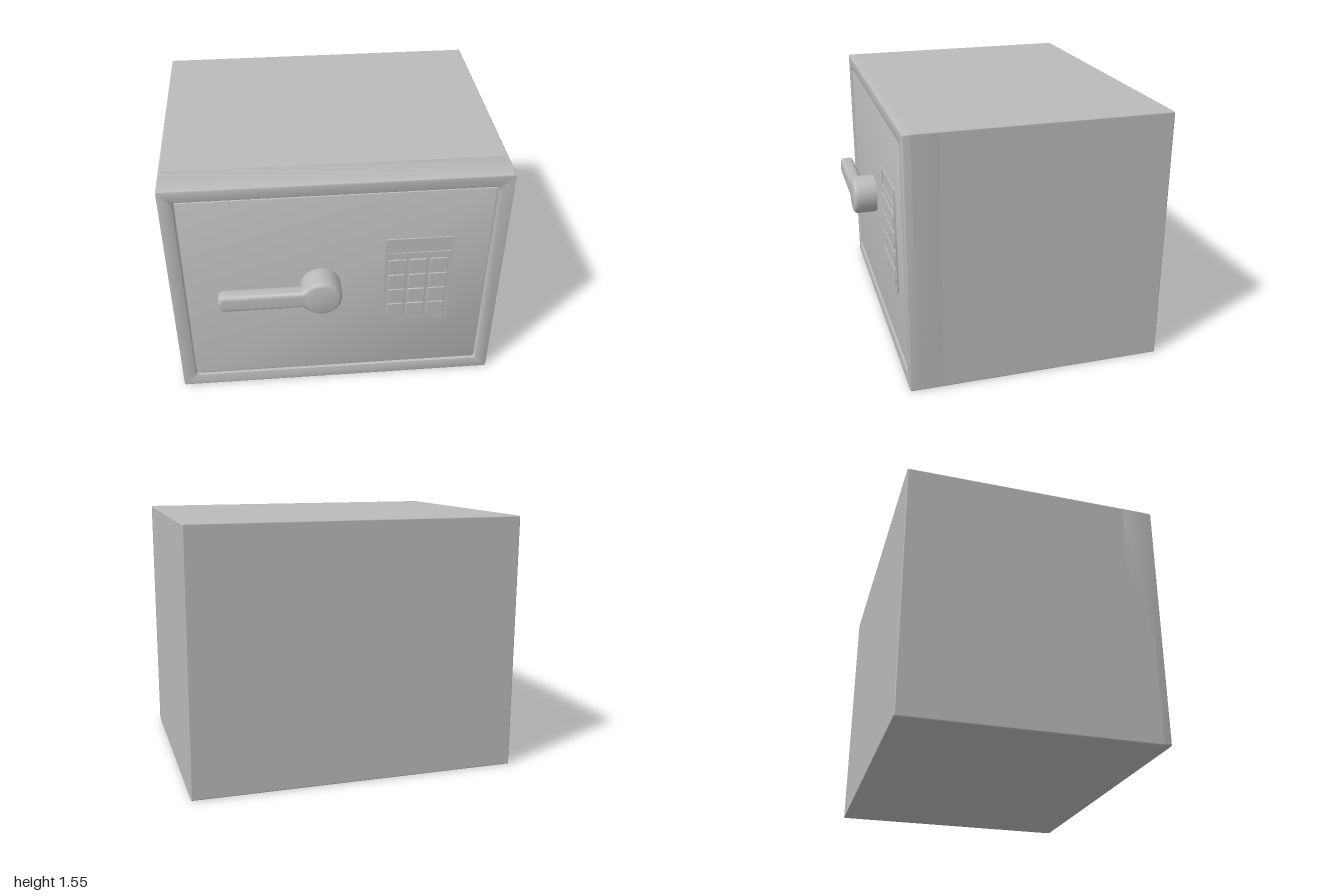
import * as THREE from 'three';
import { toCreasedNormals } from 'three/addons/utils/BufferGeometryUtils.js';
import { RoundedBoxGeometry } from 'three/addons/geometries/RoundedBoxGeometry.js';

const steel = new THREE.MeshStandardMaterial({ color: 0xbababa });
steel.name = 'grey steel';

// Rounded rectangle from its edges
function roundedRect(x0, y0, x1, y1, r, Type = THREE.Shape) {
  const s = new Type();
  s.moveTo(x0 + r, y0);
  s.lineTo(x1 - r, y0);
  s.quadraticCurveTo(x1, y0, x1, y0 + r);
  s.lineTo(x1, y1 - r);
  s.quadraticCurveTo(x1, y1, x1 - r, y1);
  s.lineTo(x0 + r, y1);
  s.quadraticCurveTo(x0, y1, x0, y1 - r);
  s.lineTo(x0, y0 + r);
  s.quadraticCurveTo(x0, y0, x0 + r, y0);
  return s;
}

// Extrusion filling z0..z1 whose bevel stays inside the outline
function slab(shape, z0, z1, bevel, segments = 2) {
  const g = new THREE.ExtrudeGeometry(shape, {
    depth: z1 - z0 - 2 * bevel, bevelEnabled: bevel > 0, bevelThickness: bevel,
    bevelSize: bevel, bevelOffset: -bevel, bevelSegments: segments, curveSegments: 6,
  });
  g.translate(0, 0, z0 + bevel);
  return toCreasedNormals(g, 0.6);
}

export function createModel() {
  const model = new THREE.Group();
  model.name = 'safe';
  const add = (name, geometry, parent = model) => {
    const mesh = new THREE.Mesh(geometry, steel);
    mesh.name = name;
    parent.add(mesh);
    return mesh;
  };

  // Cabinet and its front frame
  add('cabinet', new RoundedBoxGeometry(2, 1.555, 1.51, 2, 0.008)).position.set(0, 0.7775, -0.09);
  const frame = roundedRect(-1, 0, 1, 1.555, 0.012);
  frame.holes.push(roundedRect(-0.917, 0.088, 0.917, 1.477, 0.02, THREE.Path));
  add('frontFrame', slab(frame, 0.5, 0.705, 0.008));

  // Door, set slightly back with a narrow gap all round
  add('door', slab(roundedRect(-0.908, 0.097, 0.908, 1.468, 0.015), 0.65, 0.697, 0.004));

  // Keypad: plate with a display window, and twelve keys
  const keypad = new THREE.Group();
  keypad.name = 'keypad';
  model.add(keypad);
  const plate = roundedRect(0.28, 0.482, 0.69, 1.135, 0.003);
  plate.holes.push(roundedRect(0.295, 1.028, 0.672, 1.115, 0.004, THREE.Path));
  add('keypadPlate', slab(plate, 0.69, 0.705, 0), keypad);
  add('display', slab(roundedRect(0.29, 1.02, 0.68, 1.12, 0.003), 0.69, 0.699, 0), keypad);
  for (let row = 0; row < 4; row++) {
    for (let col = 0; col < 3; col++) {
      const x = 0.305 + col * 0.125, y = 0.52 + row * 0.118;
      add('key', slab(roundedRect(x, y, x + 0.106, y + 0.108, 0.006), 0.7, 0.712, 0.003, 1), keypad);
    }
  }

  // Handle: turned hub, neck and lever
  const handle = new THREE.Group();
  handle.name = 'handle';
  handle.position.set(-0.105, 0.818, 0);
  model.add(handle);
  const profile = [[0.122, 0.69], [0.122, 0.815], [0.119, 0.831], [0.11, 0.841], [0.098, 0.845], [0, 0.845]]
    .map(([r, z]) => new THREE.Vector2(r, z));
  const hub = new THREE.LatheGeometry(profile, 16);
  hub.rotateX(Math.PI / 2);
  add('hub', toCreasedNormals(hub, 0.6), handle);

  const lever = new THREE.Shape();
  lever.moveTo(-0.03, -0.085);
  lever.lineTo(-0.085, -0.085);
  lever.lineTo(-0.115, -0.059);
  lever.lineTo(-0.575, -0.059);
  lever.bezierCurveTo(-0.605, -0.059, -0.615, -0.03, -0.615, 0);
  lever.bezierCurveTo(-0.615, 0.03, -0.605, 0.059, -0.575, 0.059);
  lever.lineTo(-0.115, 0.059);
  lever.lineTo(-0.085, 0.085);
  lever.lineTo(-0.03, 0.085);
  add('lever', slab(lever, 0.757, 0.844, 0.026, 4), handle);

  // Fillet under the lever where it meets the hub
  const fillet = new THREE.Shape();
  fillet.moveTo(-0.09, 0.7);
  fillet.lineTo(-0.115, 0.7);
  fillet.lineTo(-0.118, 0.735);
  fillet.quadraticCurveTo(-0.122, 0.758, -0.15, 0.762);
  fillet.lineTo(-0.15, 0.785);
  fillet.lineTo(-0.09, 0.785);
  const neck = slab(fillet, -0.04, 0.04, 0);
  neck.rotateX(Math.PI / 2);
  neck.scale(1, -1, 1);
  // Mirroring turned the faces round, so swap two corners of each
  const p = neck.attributes.position;
  const a = new THREE.Vector3(), b = new THREE.Vector3();
  for (let i = 0; i < p.count; i += 3) {
    a.fromBufferAttribute(p, i);
    b.fromBufferAttribute(p, i + 1);
    p.setXYZ(i, b.x, b.y, b.z);
    p.setXYZ(i + 1, a.x, a.y, a.z);
  }
  neck.computeVertexNormals();
  add('neck', neck, handle);

  return model;
}
